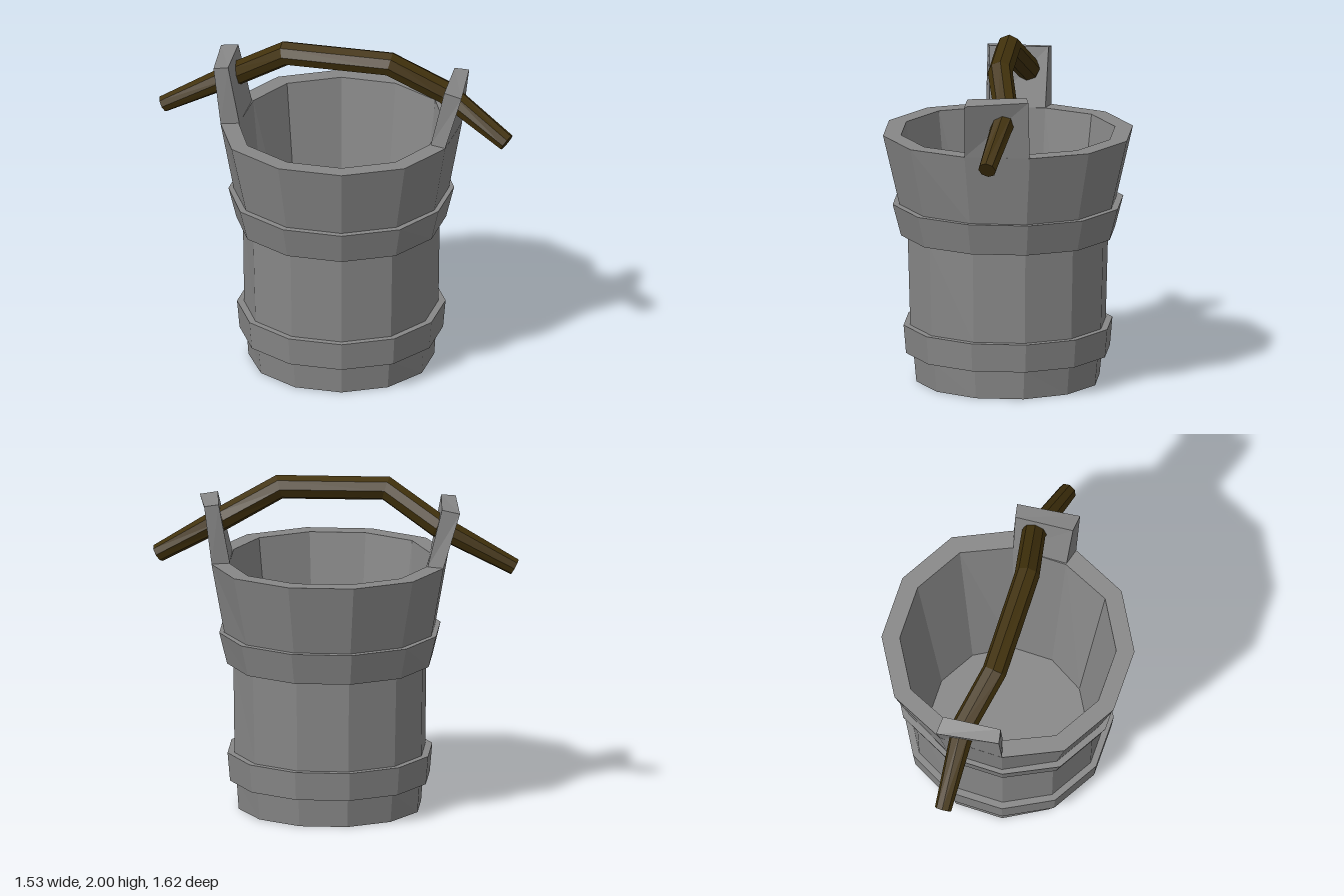
import * as THREE from 'three';

const grey = new THREE.MeshStandardMaterial({ color: 0x878787, flatShading: true });
const brown = new THREE.MeshStandardMaterial({ color: 0x42320c, flatShading: true });

function addMesh(parent, name, geometry, material) {
  const mesh = new THREE.Mesh(geometry, material);
  mesh.name = name;
  parent.add(mesh);
  return mesh;
}

// Twelve-sided turned part from [radius, height, inset] rows;
// the inset draws the two staves below the ears toward the axis
function turned(profile) {
  const geometry = new THREE.LatheGeometry(profile.map(([r, y]) => new THREE.Vector2(r, y)), 12);
  const position = geometry.attributes.position;
  for (let i = 0; i < position.count; i++) {
    const x = position.getX(i), z = position.getZ(i);
    if (x * z < 1e-6) continue;
    const shift = Math.sign(x) * profile[i % profile.length][2] * Math.SQRT1_2;
    position.setX(i, x - shift);
    position.setZ(i, z - shift);
  }
  geometry.computeVertexNormals();
  return geometry;
}

// Raised stave: a box with its corners moved to [x, y, z]
function earGeometry() {
  const corners = {
    outerTop: [[0.65, 1.848, 0.383], [0.423, 1.83, 0.685]],
    innerTop: [[0.578, 1.857, 0.335], [0.353, 1.85, 0.603]],
    outerBase: [[0.622, 1.5, 0.348], [0.348, 1.5, 0.622]],
    innerBase: [[0.525, 1.5, 0.295], [0.3, 1.5, 0.535]],
  };
  const geometry = new THREE.BoxGeometry(1, 1, 1);
  const position = geometry.attributes.position;
  for (let i = 0; i < position.count; i++) {
    const depth = position.getZ(i) > 0 ? 'outer' : 'inner';
    const level = position.getY(i) > 0 ? 'Top' : 'Base';
    position.setXYZ(i, ...corners[depth + level][position.getX(i) > 0 ? 0 : 1]);
  }
  geometry.computeVertexNormals();
  return geometry;
}

// Mitred, capped tube through [x, y, z, radius] stations
function bentPole(stations, sides) {
  const points = stations.map(([x, y, z]) => new THREE.Vector3(x, y, z));
  const last = points.length - 1;
  const positions = [], indices = [];
  points.forEach((p, i) => {
    const before = p.clone().sub(points[Math.max(i - 1, 0)]).normalize();
    const after = points[Math.min(i + 1, last)].clone().sub(p).normalize();
    const tangent = before.add(after).normalize();
    const side = new THREE.Vector3(0, 1, 0).cross(tangent).normalize();
    const up = new THREE.Vector3().crossVectors(tangent, side);
    const r = stations[i][3];
    for (let k = 0; k < sides; k++) {
      const a = (k / sides) * Math.PI * 2;
      const v = p.clone().addScaledVector(side, r * Math.cos(a)).addScaledVector(up, r * Math.sin(a));
      positions.push(v.x, v.y, v.z);
    }
  });
  for (let i = 0; i < last; i++) {
    for (let k = 0; k < sides; k++) {
      const a = i * sides + k, b = i * sides + (k + 1) % sides;
      indices.push(a, b, b + sides, a, b + sides, a + sides);
    }
  }
  // End caps
  const end = last * sides;
  for (let k = 1; k < sides - 1; k++) {
    indices.push(0, k + 1, k, end, end + k, end + k + 1);
  }
  const geometry = new THREE.BufferGeometry();
  geometry.setAttribute('position', new THREE.Float32BufferAttribute(positions, 3));
  geometry.setIndex(indices);
  geometry.computeVertexNormals();
  return geometry;
}

export function createModel() {
  const model = new THREE.Group();
  model.name = 'bucket';

  const tub = new THREE.Group();
  tub.name = 'tub';
  tub.position.set(0.015, 0, 0.025);
  model.add(tub);

  // Hollow wall with base, rim and inner floor
  addMesh(tub, 'wall', turned([
    [0, 0, 0], [0.548, 0, 0], [0.565, 0.175, 0.005], [0.585, 0.345, 0.012], [0.6, 0.89, 0.02],
    [0.65, 1.08, 0.015], [0.748, 1.5, 0.036], [0.64, 1.5, 0.036], [0.47, 0.15, 0], [0, 0.15, 0],
  ]), grey);

  // Hoops
  addMesh(tub, 'lowerBand', turned([
    [0.55, 0.175, 0.01], [0.61, 0.175, 0.01], [0.625, 0.345, 0.01], [0.57, 0.345, 0.01], [0.55, 0.175, 0.01],
  ]), grey);
  addMesh(tub, 'upperBand', turned([
    [0.58, 0.89, 0.022], [0.64, 0.89, 0.022], [0.69, 1.08, 0.025], [0.63, 1.08, 0.025], [0.58, 0.89, 0.022],
  ]), grey);

  // Two ears continuing the wall upward, on opposite sides
  ['leftEar', 'rightEar'].forEach((name, i) => {
    addMesh(tub, name, earGeometry(), grey).rotation.y = i * Math.PI;
  });

  // Bent wooden handle passing through both ears
  addMesh(model, 'handle', bentPole([
    [-0.735, 1.477, -0.775, 0.05],
    [-0.4, 1.725, -0.47, 0.072],
    [-0.24, 1.925, -0.19, 0.074],
    [0.215, 1.925, 0.25, 0.074],
    [0.49, 1.75, 0.43, 0.072],
    [0.715, 1.505, 0.765, 0.054],
  ], 8), brown);

  return model;
}
